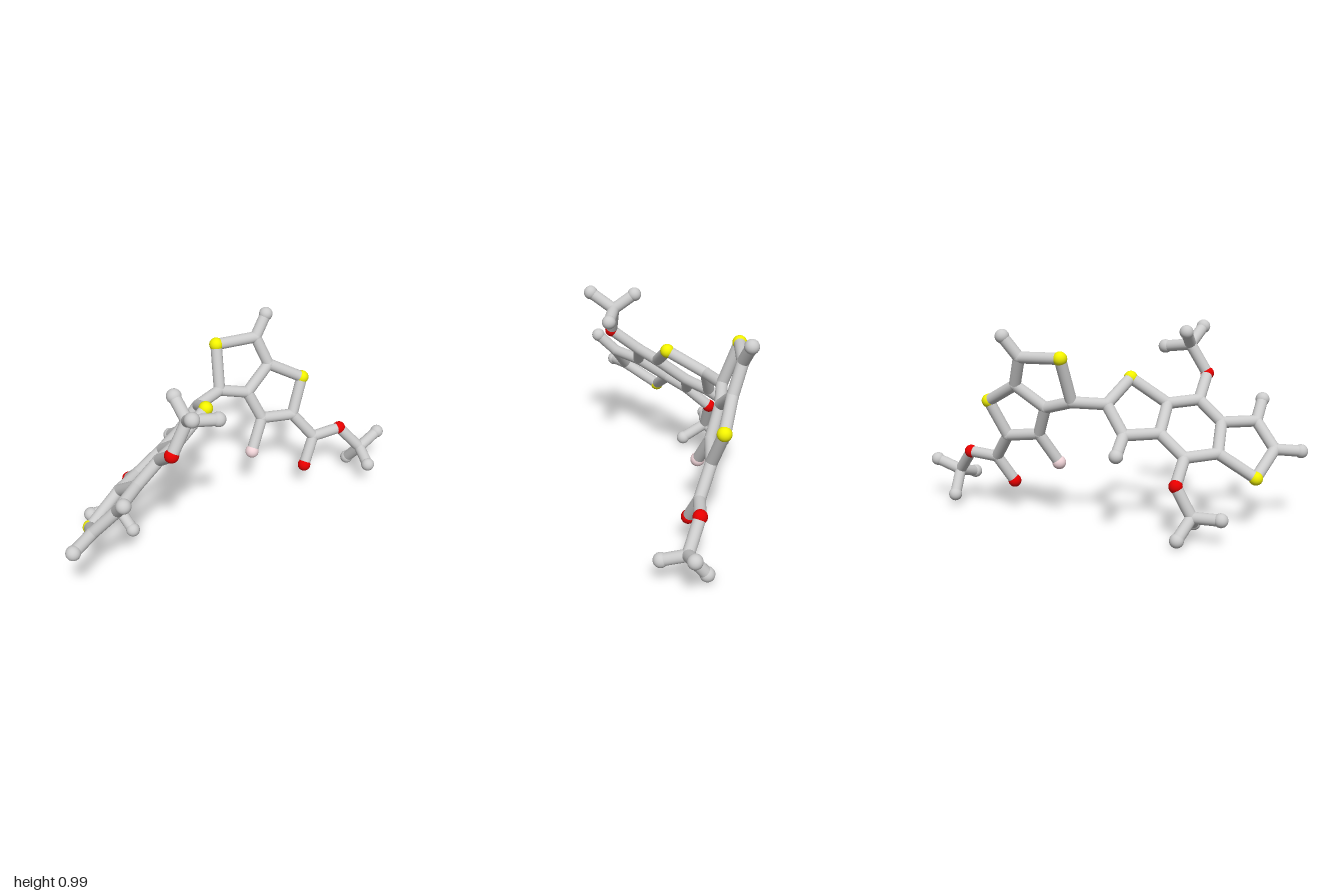
import * as THREE from 'three';

const STICK = 0.029;
const grey = new THREE.MeshStandardMaterial({ color: 0xcccccc });
const colored = (c) => {
  const m = new THREE.MeshStandardMaterial();
  m.color.set(c);
  return m;
};

// Ball kinds: joints are flush with the sticks, the others stand proud
const KINDS = {
  joint: { r: 0.03, mat: grey },
  endBall: { r: 0.035, mat: grey },
  sulfur: { r: 0.035, mat: colored(0xf2f200) },
  oxygen: { r: 0.034, mat: colored(0xe60000) },
  fluorine: { r: 0.035, mat: colored(0xf0d4d8) },
};

// key: [kind, x, y, z]
const ATOMS = {
  // outer five-sided ring
  a1: ['sulfur', -0.75, 0.275, -0.06],
  a2: ['joint', -0.835, 0.385, 0.10],
  a3: ['joint', -0.74, 0.51, 0.175],
  a2h: ['endBall', -0.965, 0.37, 0.145],
  a3h: ['endBall', -0.765, 0.605, 0.268],
  // six-sided ring
  b1: ['joint', -0.57, 0.515, 0.085],
  b2: ['joint', -0.455, 0.622, 0.11],
  b3: ['joint', -0.305, 0.61, 0.045],
  b4: ['joint', -0.285, 0.49, -0.105],
  b5: ['joint', -0.41, 0.383, -0.145],
  b6: ['joint', -0.565, 0.395, -0.075],
  // inner five-sided ring
  c1: ['sulfur', -0.12, 0.733, 0.04],
  c2: ['joint', -0.03, 0.63, -0.135],
  c3: ['joint', -0.12, 0.49, -0.18],
  c3h: ['endBall', -0.10, 0.41, -0.28],
  // upper side arm
  d1: ['oxygen', -0.483, 0.733, 0.247],
  d2: ['joint', -0.395, 0.88, 0.25],
  d3: ['endBall', -0.45, 0.96, 0.355],
  d4: ['endBall', -0.383, 0.953, 0.143],
  d5: ['endBall', -0.26, 0.86, 0.303],
  // lower side arm
  e1: ['oxygen', -0.382, 0.273, -0.263],
  e2: ['joint', -0.46, 0.125, -0.265],
  e3: ['endBall', -0.60, 0.13, -0.30],
  e4: ['endBall', -0.46, 0.057, -0.137],
  e5: ['endBall', -0.40, 0.038, -0.357],
  // upper tilted ring
  f1: ['joint', 0.137, 0.64, -0.165],
  f2: ['sulfur', 0.175, 0.86, -0.237],
  f3: ['joint', 0.39, 0.853, -0.18],
  f3h: ['endBall', 0.468, 0.955, -0.192],
  f4: ['joint', 0.43, 0.707, -0.12],
  f5: ['joint', 0.28, 0.597, -0.112],
  // lower tilted ring
  g1: ['sulfur', 0.593, 0.607, -0.032],
  g2: ['joint', 0.505, 0.425, -0.002],
  g3: ['joint', 0.33, 0.45, -0.05],
  g3f: ['fluorine', 0.235, 0.298, -0.016],
  // end arm
  h1: ['joint', 0.59, 0.29, 0.08],
  h2: ['oxygen', 0.505, 0.155, 0.108],
  h3: ['oxygen', 0.745, 0.30, 0.122],
  h4: ['joint', 0.835, 0.175, 0.203],
  h5: ['endBall', 0.963, 0.227, 0.208],
  h6: ['endBall', 0.787, 0.139, 0.313],
  h7: ['endBall', 0.838, 0.061, 0.115],
};

// Each part owns the atoms with its letter and the listed sticks
const PARTS = [
  ['outerRing', 'a', 'b1-a3 a3-a2 a2-a1 a1-b6 a2-a2h a3-a3h'],
  ['hexagonRing', 'b', 'b1-b2 b2-b3 b3-b4 b4-b5 b5-b6 b6-b1'],
  ['innerRing', 'c', 'b3-c1 c1-c2 c2-c3 c3-b4 c3-c3h'],
  ['upperArm', 'd', 'b2-d1 d1-d2 d2-d3 d2-d4 d2-d5'],
  ['lowerArm', 'e', 'b5-e1 e1-e2 e2-e3 e2-e4 e2-e5'],
  ['upperTiltedRing', 'f', 'c2-f1 f1-f2 f2-f3 f3-f4 f4-f5 f5-f1 f3-f3h'],
  ['lowerTiltedRing', 'g', 'f4-g1 g1-g2 g2-g3 g3-f5 g3-g3f'],
  ['endArm', 'h', 'g2-h1 h1-h2 h1-h3 h3-h4 h4-h5 h4-h6 h4-h7'],
];

const position = (key) => new THREE.Vector3(...ATOMS[key].slice(1));

function ball(key) {
  const kind = ATOMS[key][0];
  const { r, mat } = KINDS[kind];
  const mesh = new THREE.Mesh(new THREE.SphereGeometry(r, 24, 16), mat);
  mesh.name = kind;
  mesh.position.copy(position(key));
  return mesh;
}

function stick(from, to) {
  const a = position(from), b = position(to);
  const dir = b.clone().sub(a);
  const geo = new THREE.CylinderGeometry(STICK, STICK, dir.length(), 20, 1, true);
  const mesh = new THREE.Mesh(geo, grey);
  mesh.name = 'stick';
  mesh.position.copy(a).add(b).multiplyScalar(0.5);
  mesh.quaternion.setFromUnitVectors(new THREE.Vector3(0, 1, 0), dir.normalize());
  return mesh;
}

export function createModel() {
  const model = new THREE.Group();
  model.name = 'ballAndStickMolecule';
  for (const [name, letter, bonds] of PARTS) {
    const part = new THREE.Group();
    part.name = name;
    for (const key of Object.keys(ATOMS)) if (key[0] === letter) part.add(ball(key));
    for (const bond of bonds.split(' ')) part.add(stick(...bond.split('-')));
    model.add(part);
  }
  return model;
}
